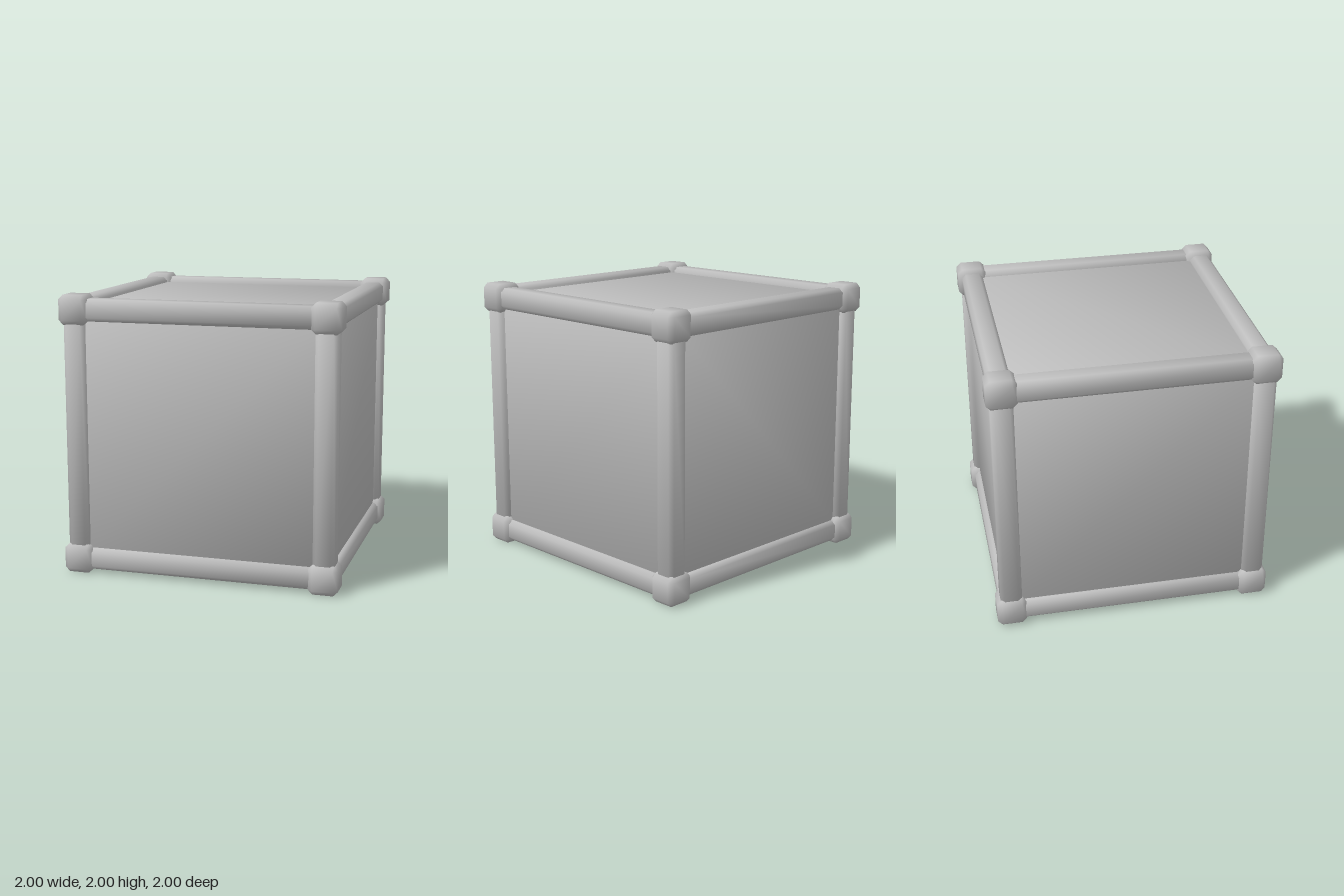
import * as THREE from 'three';
import { ConvexGeometry } from 'three/addons/geometries/ConvexGeometry.js';

// Box with bevelled edges and softly blended normals
function bevelledBox(w, h, d, bevel) {
  const half = [w / 2, h / 2, d / 2];
  const points = [];
  for (let axis = 0; axis < 3; axis++) {
    for (const sx of [-1, 1]) for (const sy of [-1, 1]) for (const sz of [-1, 1]) {
      const p = [sx, sy, sz].map((s, i) => s * (half[i] - (i === axis ? 0 : bevel)));
      points.push(new THREE.Vector3(...p));
    }
  }
  const geometry = new ConvexGeometry(points);
  const pos = geometry.attributes.position;
  const normal = geometry.attributes.normal;
  for (let i = 0; i < pos.count; i++) {
    // Each corner leans mostly along the face it lies on
    const p = [pos.getX(i), pos.getY(i), pos.getZ(i)];
    const n = p.map((v, k) => Math.sign(v) * (Math.abs(v) > half[k] - bevel / 2 ? 3 : 1.28));
    const v = new THREE.Vector3(...n).normalize();
    normal.setXYZ(i, v.x, v.y, v.z);
  }
  return geometry;
}

export function createModel() {
  const group = new THREE.Group();
  const grey = new THREE.MeshStandardMaterial({ color: 0xbfbfbf });
  grey.name = 'grey';
  const add = (name, geometry, x, y, z) => {
    const mesh = new THREE.Mesh(geometry, grey);
    mesh.name = name;
    mesh.position.set(x, y + 1, z);
    group.add(mesh);
  };

  const c = 0.895; // distance of frame centre lines from the middle
  const t = 0.155; // bar thickness
  const length = 1.74;

  // Inner block forming the six panels
  add('panelBlock', bevelledBox(1.86, 1.86, 1.86, 0.03), 0, 0, 0);

  // Twelve frame bars, four along each axis
  const barX = bevelledBox(length, t, t, 0.027);
  const barY = bevelledBox(t, length, t, 0.027);
  const barZ = bevelledBox(t, t, length, 0.027);
  for (const a of [-c, c]) for (const b of [-c, c]) {
    add('barAcross', barX, 0, a, b);
    add('barUpright', barY, a, 0, b);
    add('barDepth', barZ, a, b, 0);
  }

  // Eight corner blocks
  const corner = bevelledBox(0.21, 0.21, 0.21, 0.033);
  for (const x of [-c, c]) for (const y of [-c, c]) for (const z of [-c, c]) {
    add('cornerBlock', corner, x, y, z);
  }
  return group;
}
